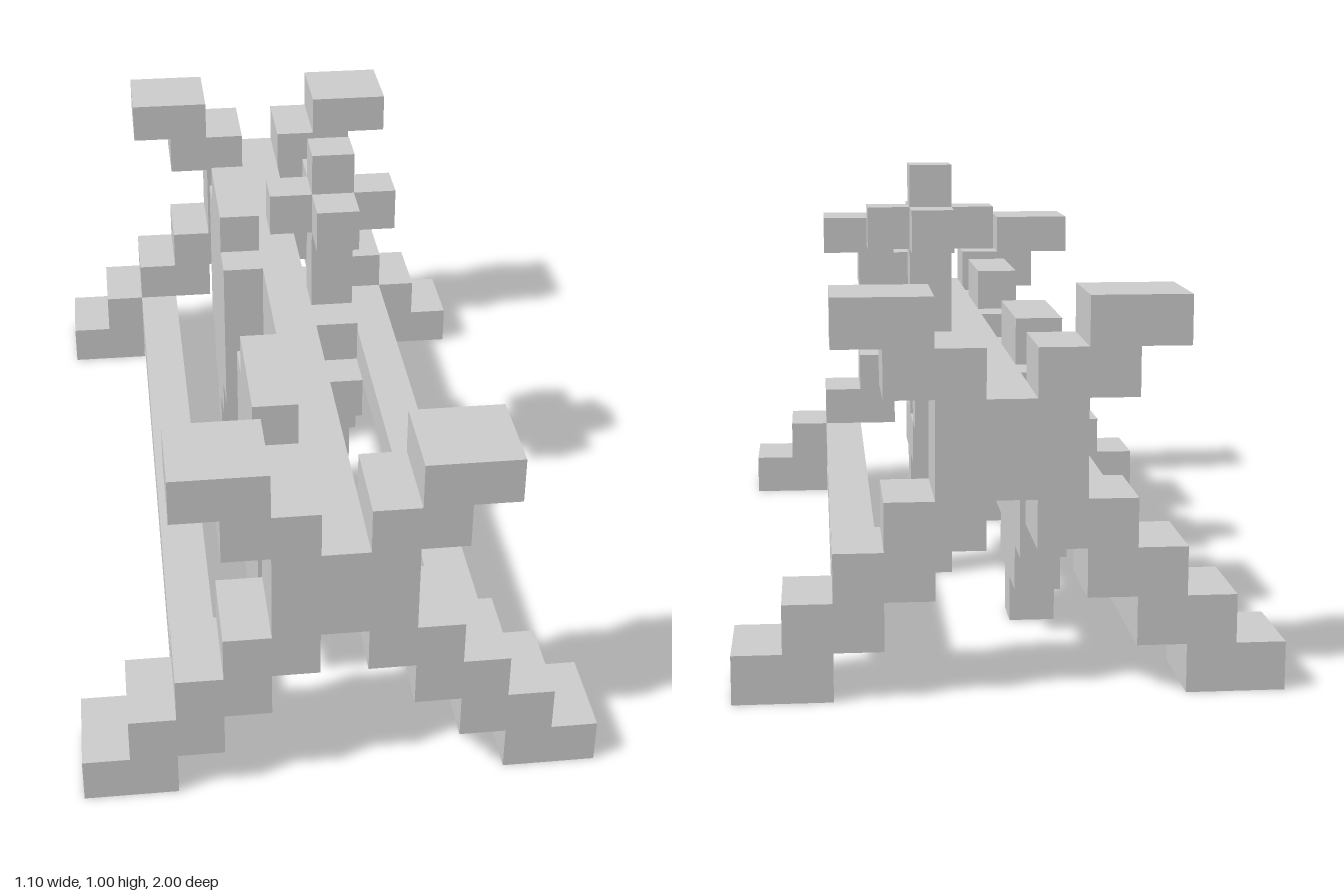
import * as THREE from 'three';

const material = new THREE.MeshStandardMaterial({ color: 0xcccccc, flatShading: true });

function addMesh(parent, name, geometry) {
  const mesh = new THREE.Mesh(geometry, material);
  mesh.name = name;
  parent.add(mesh);
  return mesh;
}

// Box given by its lowest and highest corners
function addBox(parent, name, [x0, y0, z0], [x1, y1, z1]) {
  const box = addMesh(parent, name, new THREE.BoxGeometry(x1 - x0, y1 - y0, z1 - z0));
  box.position.set((x0 + x1) / 2, (y0 + y1) / 2, (z0 + z1) / 2);
  return box;
}

// Extrudes a half outline (bottom to top) mirrored about the vertical axis
function mirroredExtrude(half, depth) {
  const other = half.map(([x, y]) => [-x, y]).reverse();
  const points = [...half, ...other].map(([x, y]) => new THREE.Vector2(x, y));
  return new THREE.ExtrudeGeometry(new THREE.Shape(points), { depth, bevelEnabled: false });
}

export function createModel() {
  const model = new THREE.Group();
  model.name = 'weaponRack';

  // Stepped X-shaped end frames: legs, centre block, upper arms
  const frame = mirroredExtrude([
    [0.05, 0.4], [0.05, 0.3], [0.15, 0.3], [0.15, 0.2], [0.25, 0.2], [0.25, 0.1],
    [0.35, 0.1], [0.35, 0], [0.55, 0], [0.55, 0.1], [0.45, 0.1], [0.45, 0.2],
    [0.35, 0.2], [0.35, 0.3], [0.25, 0.3], [0.25, 0.4], [0.15, 0.4], [0.15, 0.6],
    [0.25, 0.6], [0.25, 0.7], [0.35, 0.7], [0.35, 0.8], [0.15, 0.8], [0.15, 0.7],
    [0.05, 0.7], [0.05, 0.6],
  ], 0.2);
  addMesh(model, 'frontFrame', frame).position.z = 0.8;
  addMesh(model, 'backFrame', frame).position.z = -1;

  // Lengthwise beam and the two low rails
  addBox(model, 'centreBeam', [-0.05, 0.4, -0.8], [0.05, 0.6, 0.8]);
  addBox(model, 'leftRail', [0.25, 0.1, -0.8], [0.35, 0.2, 0.8]);
  addBox(model, 'rightRail', [-0.35, 0.1, -0.8], [-0.25, 0.2, 0.8]);

  // Two shields hung on the right side of the beam
  const shield = mirroredExtrude([
    [0.05, 0], [0.05, 0.1], [0.15, 0.1], [0.15, 0.2], [0.25, 0.2],
    [0.25, 0.6], [0.15, 0.6], [0.15, 0.7],
  ], 0.1).rotateY(-Math.PI / 2);
  addMesh(model, 'frontShield', shield).position.set(-0.05, 0, 0.45);
  addMesh(model, 'backShield', shield).position.set(-0.05, 0, -0.45);

  // Upright staff on the left side of the beam
  const staff = new THREE.Group();
  staff.name = 'staff';
  staff.position.set(0.1, 0, -0.05);
  model.add(staff);
  addBox(staff, 'shaft', [-0.05, 0, -0.05], [0.05, 1, 0.05]);
  for (const s of [-1, 1]) {
    const cube = (name, x, y, z) =>
      addBox(staff, name, [x - 0.05, y, z - 0.05], [x + 0.05, y + 0.1, z + 0.05]);
    // Four-armed head
    cube('headSideArm', 0.1 * s, 0.8, 0);
    cube('headArm', 0, 0.8, 0.1 * s);
    // Open ring around the shaft
    cube('ringTop', 0, 0.5, 0.1 * s);
    cube('ringSide', 0, 0.4, 0.2 * s);
    cube('ringBottom', 0, 0.3, 0.1 * s);
  }
  return model;
}
